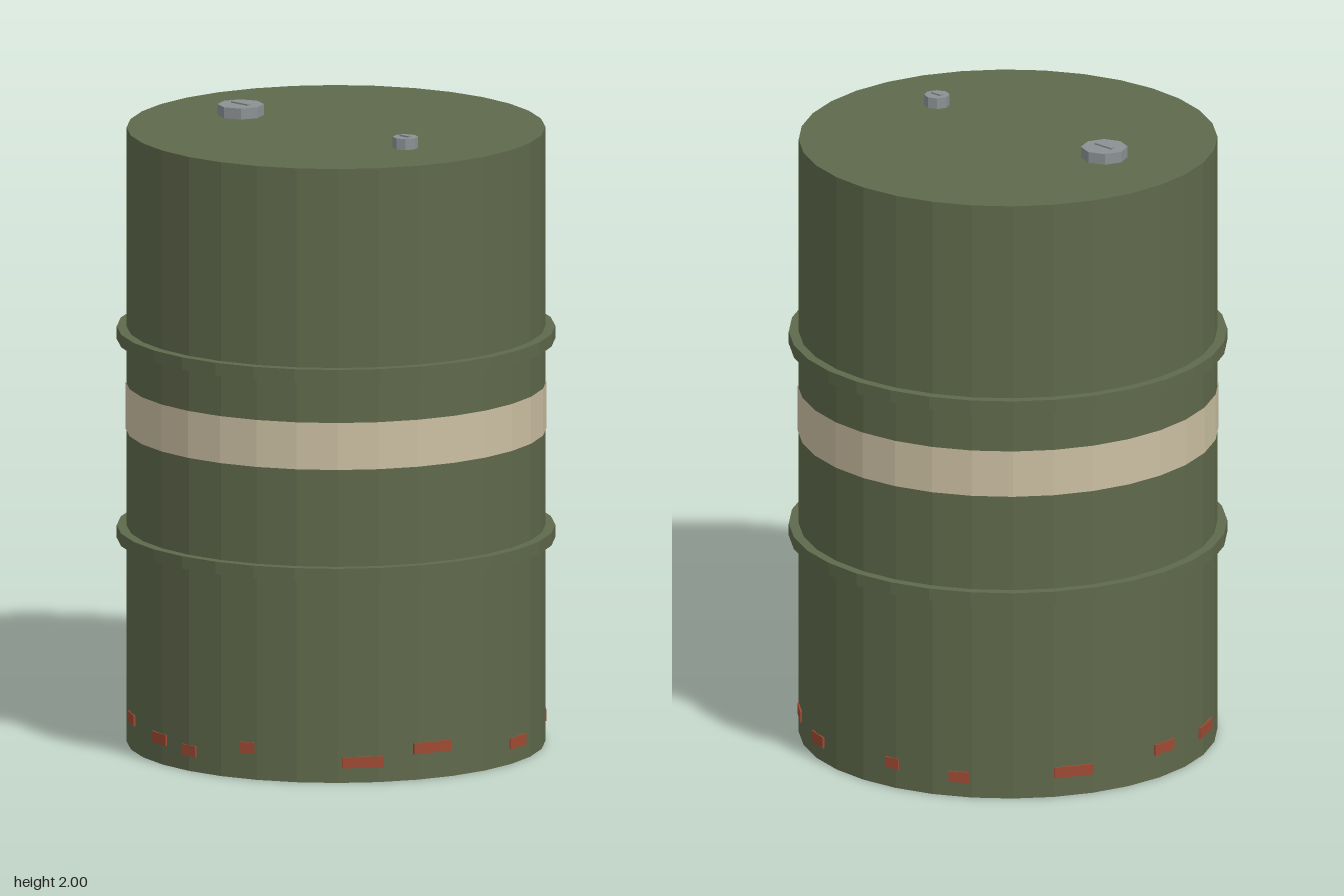
import * as THREE from 'three';

const paint = (name, color) => {
  const m = new THREE.MeshStandardMaterial({ color, flatShading: true });
  m.name = name;
  return m;
};

export function createModel() {
  const group = new THREE.Group();
  const green = paint('olive paint', 0x5f694b);
  const cream = paint('cream paint', 0xcbbfa2);
  const steel = paint('grey steel', 0x8b9194);
  const rust = paint('rust', 0x9e4a33);

  const add = (name, geometry, material, x, y, z) => {
    const mesh = new THREE.Mesh(geometry, material);
    mesh.name = name;
    mesh.position.set(x, y, z);
    group.add(mesh);
    return mesh;
  };
  const disc = (r, h, sides) => new THREE.CylinderGeometry(r, r, h, sides);

  // Drum body, rolling hoops and painted band
  add('drumBody', disc(0.655, 1.96, 32), green, 0, 0.98, 0);
  for (const y of [0.67, 1.305]) add('rollingHoop', disc(0.686, 0.04, 32), green, 0, y, 0);
  add('paintedBand', new THREE.CylinderGeometry(0.659, 0.659, 0.15, 32, 1, true), cream, 0, 1.075, 0);

  // Screw plugs on the lid, each with a narrow bar across it
  for (const [x, r] of [[-0.345, 0.073], [0.379, 0.04]]) {
    add('plug', disc(r, 0.035, 8), steel, x, 1.9775, 0.075);
    add('plugBar', new THREE.BoxGeometry(r, 0.008, 0.012), steel, x, 1.996, 0.075);
  }

  // Rust patches around the foot: angle from the front, height, width
  const patches = [
    [0, 0.065, 0.06], [19.5, 0.1, 0.05], [52, 0.065, 0.13], [72, 0.1, 0.13],
    [105, 0.065, 0.1], [139, 0.08, 0.09], [158.5, 0.065, 0.08], [190, 0.08, 0.05],
    [210, 0.065, 0.065], [242, 0.08, 0.13], [272, 0.095, 0.09], [294.5, 0.08, 0.11],
    [327, 0.1, 0.08], [347, 0.08, 0.08],
  ];
  for (const [deg, y, w] of patches) {
    const a = THREE.MathUtils.degToRad(deg);
    const patch = add('rustPatch', new THREE.BoxGeometry(w, 0.035, 0.009), rust,
      Math.sin(a) * 0.653, y, Math.cos(a) * 0.653);
    patch.rotation.y = a;
  }
  return group;
}
